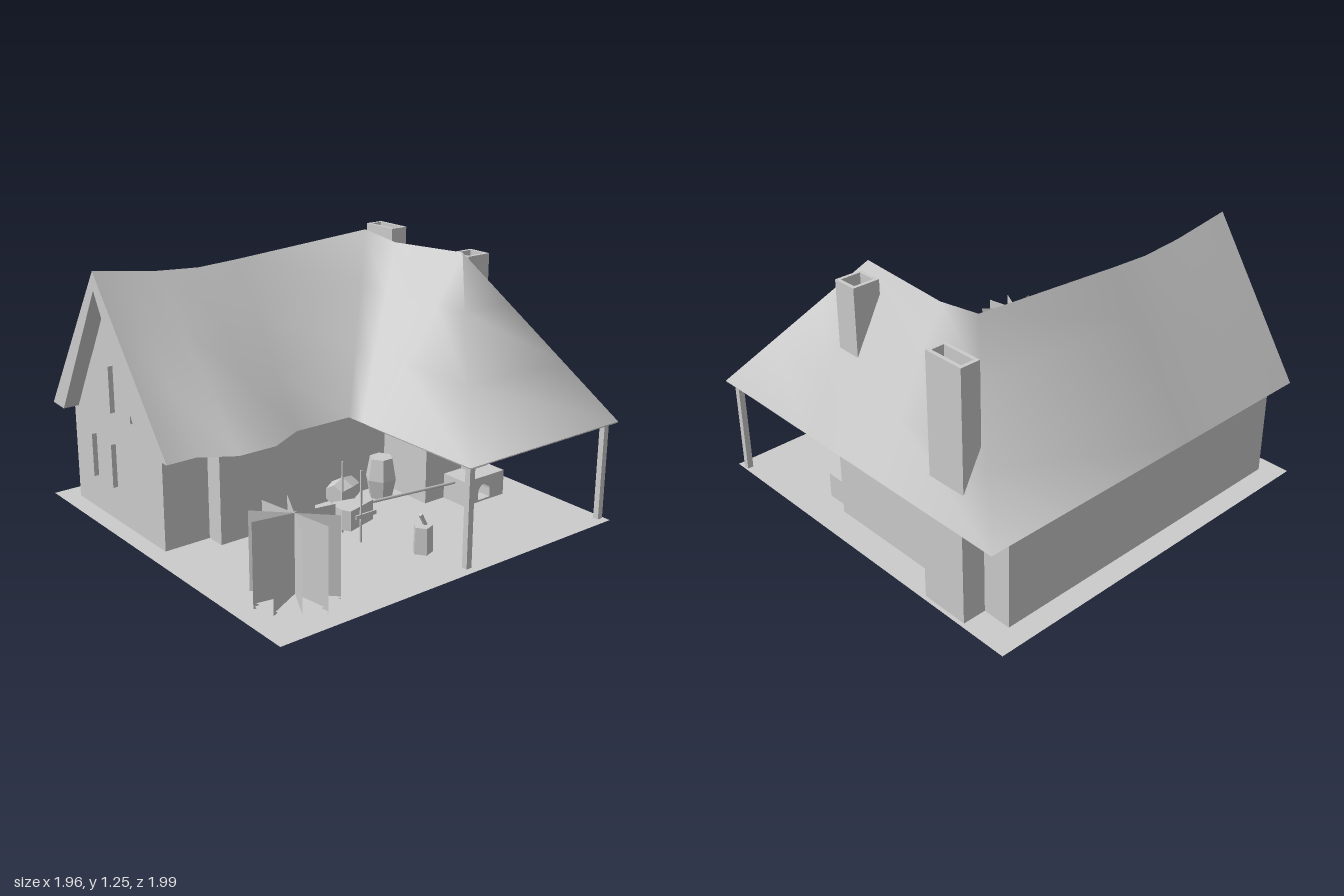
import * as THREE from 'three';

const grey = new THREE.MeshStandardMaterial({ color: 0xcccccc });
const thin = new THREE.MeshStandardMaterial({ color: 0xcccccc, side: THREE.DoubleSide });
const faceted = new THREE.MeshStandardMaterial({ color: 0xcccccc, flatShading: true });

export function createModel() {
  const model = new THREE.Group();

  const add = (name, geo, mat = grey) => {
    const m = new THREE.Mesh(geo, mat);
    m.name = name;
    model.add(m);
    return m;
  };
  // box given by its limits on each axis
  const box = (name, x0, x1, y0, y1, z0, z1) => {
    const m = add(name, new THREE.BoxGeometry(x1 - x0, y1 - y0, z1 - z0));
    m.position.set((x0 + x1) / 2, (y0 + y1) / 2, (z0 + z1) / 2);
    return m;
  };
  // surface through rows of points, all rows of equal length
  const loft = (name, rows) => {
    const n = rows[0].length, index = [];
    for (let j = 0; j < rows.length - 1; j++)
      for (let i = 0; i < n - 1; i++) {
        const a = j * n + i, b = a + 1, c = a + n, d = c + 1;
        index.push(a, b, c, b, d, c);
      }
    const g = new THREE.BufferGeometry().setFromPoints(rows.flat());
    g.setIndex(index);
    g.computeVertexNormals();
    return add(name, g, thin);
  };
  const polygon = (pts) => new THREE.Shape(pts.map(([x, y]) => new THREE.Vector2(x, y)));

  // ground
  const ground = add('ground', new THREE.PlaneGeometry(1.96, 1.97), thin);
  ground.rotation.x = -Math.PI / 2;
  ground.position.z = 0.005;

  // walls: L-shaped plan with a small bay
  const plan = [[-0.87, 0.9], [-0.04, 0.9], [-0.04, 0.66], [0.06, 0.66], [0.06, 0.45], [-0.04, 0.45],
    [-0.04, -0.41], [0.28, -0.41], [0.28, -0.84], [-0.87, -0.84]];
  const walls = new THREE.ExtrudeGeometry(polygon(plan.map(([x, z]) => [x, -z])), { depth: 0.495, bevelEnabled: false });
  add('walls', walls.rotateX(-Math.PI / 2));
  const gable = new THREE.ExtrudeGeometry(polygon([[-0.87, 0.49], [-0.04, 0.49], [-0.45, 1.14]]), { depth: 0.04, bevelEnabled: false });
  add('gableWall', gable.translate(0, 0, 0.86));

  // roof stations: outer eave x,z, inner eave x,z, ridge x,y,z
  const stations = [
    [0.14, 0.98, -0.08, 0.98, -0.45, 1.25, 0.98],
    [0.14, 0.83, -0.07, 0.8, -0.45, 1.225, 0.8],
    [0.24, 0.67, 0.07, 0.67, -0.45, 1.205, 0.65],
    [0.24, 0.47, 0.07, 0.53, -0.45, 1.19, 0.42],
    [0.14, 0.28, -0.05, 0.3, -0.45, 1.2, 0.2],
    [0.14, -0.03, -0.1, -0.26, -0.45, 1.25, -0.61],
    [0.24, -0.03, 0.2, -0.26, -0.21, 1.22, -0.61],
    [0.3, -0.03, 0.26, -0.03, 0.28, 1.25, -0.61],
    [0.97, -0.03, 0.97, -0.03, 0.28, 1.25, -0.61],
    [0.97, -1, 0.97, -1, 0.28, 1.25, -0.61],
    [0.28, -1, 0.28, -0.98, 0.28, 1.25, -0.61],
    [-0.21, -1, -0.21, -0.95, -0.21, 1.22, -0.61],
    [-0.94, -1, -0.83, -0.91, -0.45, 1.25, -0.61],
    [-0.94, 0.2, -0.83, 0.2, -0.45, 1.2, 0.2],
    [-0.94, 0.42, -0.83, 0.42, -0.45, 1.19, 0.42],
    [-0.94, 0.65, -0.83, 0.65, -0.45, 1.205, 0.65],
    [-0.94, 0.98, -0.83, 0.98, -0.45, 1.25, 0.98],
  ];
  const V = (x, y, z) => new THREE.Vector3(x, y, z);
  const outer = stations.map((s) => V(s[0], 0.5, s[1]));
  const inner = stations.map((s) => V(s[2], 0.495, s[3]));
  const ridge = stations.map((s) => V(s[4], s[5], s[6]));
  const innerRidge = stations.map((s) => V(s[4], s[5] - 0.09, s[6]));
  const between = (a, b, t) => a.map((p, i) => p.clone().lerp(b[i], t));
  loft('roof', [outer, between(outer, ridge, 0.35), between(outer, ridge, 0.7), ridge]);
  loft('roofUnderside', [innerRidge, between(innerRidge, inner, 0.5), inner]);
  loft('soffit', [inner, outer]);
  const last = stations.length - 1;
  loft('roofFrontEdge', [[outer[last], ridge[0], outer[0]], [inner[last], innerRidge[0], inner[0]]]);

  // porch posts
  for (const z of [-0.075, -0.955]) box('porchPost', 0.91, 0.94, 0, 0.52, z - 0.015, z + 0.015);

  // chimneys, hollow at the top
  const chimney = (x0, x1, z0, z1, y0) => {
    const frame = polygon([[x0, -z0], [x1, -z0], [x1, -z1], [x0, -z1]]);
    const t = 0.018;
    frame.holes.push(polygon([[x0 + t, -z0 - t], [x0 + t, -z1 + t], [x1 - t, -z1 + t], [x1 - t, -z0 - t]]));
    const g = new THREE.ExtrudeGeometry(frame, { depth: 1.22 - y0, bevelEnabled: false });
    add('chimney', g.rotateX(-Math.PI / 2).translate(0, y0, 0));
  };
  chimney(-0.7, -0.49, -0.93, -0.83, 0);
  chimney(0.14, 0.27, -0.8, -0.66, 0.85);
  box('chimneyBase', -0.72, -0.47, 0, 0.5, -0.96, -0.83);

  // shutters standing open at the front windows
  for (const [x, y0, y1] of [[-0.66, 0.18, 0.4], [-0.47, 0.18, 0.4], [-0.46, 0.56, 0.79], [-0.27, 0.56, 0.79]])
    box('shutter', x - 0.003, x + 0.003, y0, y1, 0.9, 0.925);

  // oven with arched openings against the wing wall
  const arch = (w, h, hw, hh) => {
    const s = polygon([[-w, 0], [w, 0], [w, h], [-w, h]]);
    const o = new THREE.Path();
    o.moveTo(-hw, 0.01).lineTo(-hw, hh).absarc(0, hh, hw, Math.PI, 0, true).lineTo(hw, 0.01);
    s.holes.push(o);
    return s;
  };
  const arched = (name, x, y, z, depth, shape) => {
    const g = new THREE.ExtrudeGeometry(shape, { depth, bevelEnabled: false, curveSegments: 8 });
    add(name, g.rotateY(Math.PI / 2).translate(x, y, z));
  };
  arched('oven', 0.28, 0, -0.67, 0.15, arch(0.135, 0.13, 0.04, 0.05));
  arched('ovenHood', 0.28, 0.13, -0.72, 0.05, arch(0.07, 0.12, 0.04, 0.05));

  // barrels, one upright and one on its side
  const barrelGeo = new THREE.LatheGeometry([[0, 0], [0.06, 0], [0.08, 0.1], [0.06, 0.21], [0, 0.21]].map(([x, y]) => new THREE.Vector2(x, y)), 6);
  add('uprightBarrel', barrelGeo, faceted).position.set(0.065, 0, -0.3);
  const lying = add('lyingBarrel', barrelGeo, faceted);
  lying.position.set(0.05, 0.07, -0.01);
  lying.rotation.set(-Math.PI / 2, 0, 0.3);
  lying.scale.set(0.9, 0.75, 0.9);

  // handcart: tapered tray, side stakes and a long shaft
  const tray = new THREE.ExtrudeGeometry(polygon([[0.335, -0.02], [0.385, -0.02], [0.43, -0.19], [0.39, -0.21], [0.33, -0.21], [0.29, -0.19]].reverse()), { depth: 0.1, bevelEnabled: false });
  add('cartTray', tray.rotateX(-Math.PI / 2).translate(0, 0.07, 0));
  for (const x of [0.292, 0.43]) {
    box('cartStake', x - 0.004, x + 0.004, 0, 0.36, 0.126, 0.134);
    box('cartRail', x - 0.004, x + 0.004, 0.12, 0.14, 0.04, 0.16);
  }
  const shaft = new THREE.TubeGeometry(new THREE.LineCurve3(V(0.36, 0.15, 0.05), V(0.36, 0.11, -0.53)), 1, 0.008, 5);
  add('cartShaft', shaft);

  // chopping block with a tool stuck in it
  const block = add('choppingBlock', new THREE.CylinderGeometry(0.045, 0.05, 0.13, 5), faceted);
  block.position.set(0.68, 0.065, -0.03);
  const handle = box('toolHandle', 0.67, 0.685, 0.12, 0.19, -0.04, -0.025);
  handle.rotation.x = 0.5;

  // bush of crossed upright sheets over spread ground sheets
  const bush = new THREE.Group();
  bush.name = 'bush';
  bush.position.set(0.7, 0, 0.71);
  for (let i = 0; i < 5; i++) {
    const sheet = new THREE.Mesh(new THREE.PlaneGeometry(0.39, 0.4), thin);
    sheet.name = 'bushSheet';
    sheet.position.y = 0.2;
    sheet.rotation.y = (i * Math.PI) / 5 + 0.15;
    bush.add(sheet);
  }
  for (let i = 0; i < 3; i++) {
    const sheet = new THREE.Mesh(new THREE.PlaneGeometry(0.4 - 0.03 * i, 0.4 - 0.03 * i).rotateX(-Math.PI / 2), thin);
    sheet.name = 'groundSheet';
    sheet.position.y = 0.005 + 0.012 * i;
    sheet.rotation.y = 0.73 + (i * Math.PI) / 6;
    bush.add(sheet);
  }
  model.add(bush);

  return model;
}
